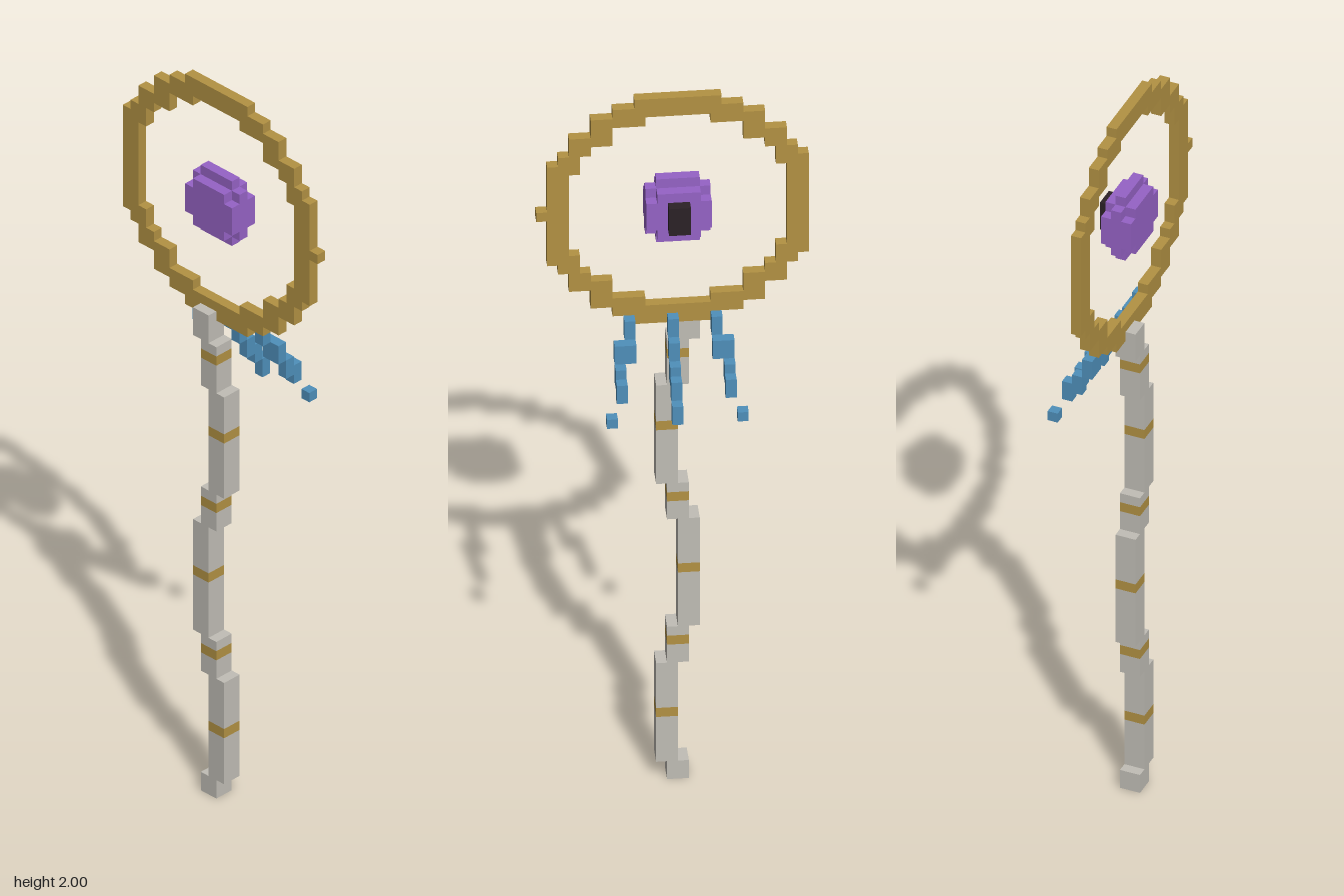
import * as THREE from 'three';
import { mergeGeometries } from 'three/addons/utils/BufferGeometryUtils.js';

const V = 2 / 76; // edge length of one block

// Box spanning grid cells: x in [x0,x1), y in [y0,y1), z in [z0,z1)
function block(x0, x1, y0, y1, z0, z1) {
  const g = new THREE.BoxGeometry((x1 - x0) * V, (y1 - y0) * V, (z1 - z0) * V);
  g.translate(((x0 + x1) / 2 - 12.5) * V, ((y0 + y1) / 2) * V, ((z0 + z1) / 2 - 3.5) * V);
  return g;
}

function part(name, material, blocks) {
  const mesh = new THREE.Mesh(mergeGeometries(blocks.map((b) => block(...b))), material);
  mesh.name = name;
  return mesh;
}

function colour(name, hex) {
  const m = new THREE.MeshStandardMaterial({ color: hex });
  m.name = name;
  return m;
}

export function createModel() {
  const group = new THREE.Group();
  group.name = 'ringStaff';
  const gold = colour('gold', 0xb39243);
  const stone = colour('paleGrey', 0xc1beb6);
  const purple = colour('purple', 0x9663c6);
  const blue = colour('blue', 0x4f90bb);
  const dark = colour('nearBlack', 0x2b2226);

  // Ring: each column's inner and outer height from the middle row, mirrored in x and y
  const columns = [[0, 5], [0, 6], [5, 8], [7, 8], [8, 10], [8, 10],
    [10, 11], [10, 11], [10, 12], [11, 12], [11, 12], [11, 12]];
  const mid = 63;
  const ring = [[24, 25, mid, mid + 1, 5, 6]]; // small stud on one side
  columns.forEach(([inner, outer], i) => {
    for (const x of [i, 23 - i]) {
      if (inner === 0) {
        ring.push([x, x + 1, mid - outer, mid + outer + 1, 5, 6]);
      } else {
        ring.push([x, x + 1, mid + inner, mid + outer + 1, 5, 6]);
        ring.push([x, x + 1, mid - outer, mid - inner + 1, 5, 6]);
      }
    }
  });
  group.add(part('ring', gold, ring));

  // Floating orb: a tall middle layer between two smaller ones
  const orb = [];
  for (const [z, h] of [[4, 2], [5, 3], [6, 2]]) {
    orb.push([10, 14, mid - h, mid + h + 1, z, z + 1]);
    for (const x of [9, 14]) orb.push([x, x + 1, mid - h + 1, mid + h, z, z + 1]);
  }
  group.add(part('orb', purple, orb));
  group.add(part('pupil', dark, [[11, 13, 62, 65, 3, 4]]));

  // Crooked shaft: [left cell, bottom, top], split around the gold bands
  const segments = [[11, 0, 2], [12, 2, 13], [11, 13, 17], [10, 17, 29],
    [11, 29, 33], [12, 33, 44], [11, 44, 49], [10, 49, 51]];
  const shaft = [[10, 12, 51, 52, 6, 7]];
  const bands = [];
  for (const [x, y0, y1] of segments) {
    let start = y0;
    for (let y = 7; y < 52; y += 8) {
      if (y < y0 || y >= y1) continue;
      bands.push([x, x + 2, y, y + 1, 5, 7]);
      if (y > start) shaft.push([x, x + 2, start, y, 5, 7]);
      start = y + 1;
    }
    if (start < y1) shaft.push([x, x + 2, start, y1, 5, 7]);
  }
  group.add(part('shaft', stone, shaft));
  group.add(part('shaftBands', gold, bands));

  // Streamers trailing down and backwards: [sideways offset, depth, bottom, top]
  const side = [[4, 4, 50, 52], [4, 3, 48, 50], [5, 3, 48, 50],
    [5, 2, 46, 48], [5, 1, 45, 47], [6, 0, 43, 44]];
  const centre = [[0, 4, 50, 52], [0, 3, 48, 50], [0, 2, 46, 48], [0, 1, 45, 47], [0, 0, 43, 45]];
  const streamer = (cells, s) =>
    cells.map(([dx, z, y0, y1]) => [12 + s * dx, 13 + s * dx, y0, y1, z, z + 1]);
  group.add(part('leftStreamer', blue, streamer(side, 1)));
  group.add(part('rightStreamer', blue, streamer(side, -1)));
  group.add(part('middleStreamer', blue, streamer(centre, 1)));

  return group;
}
